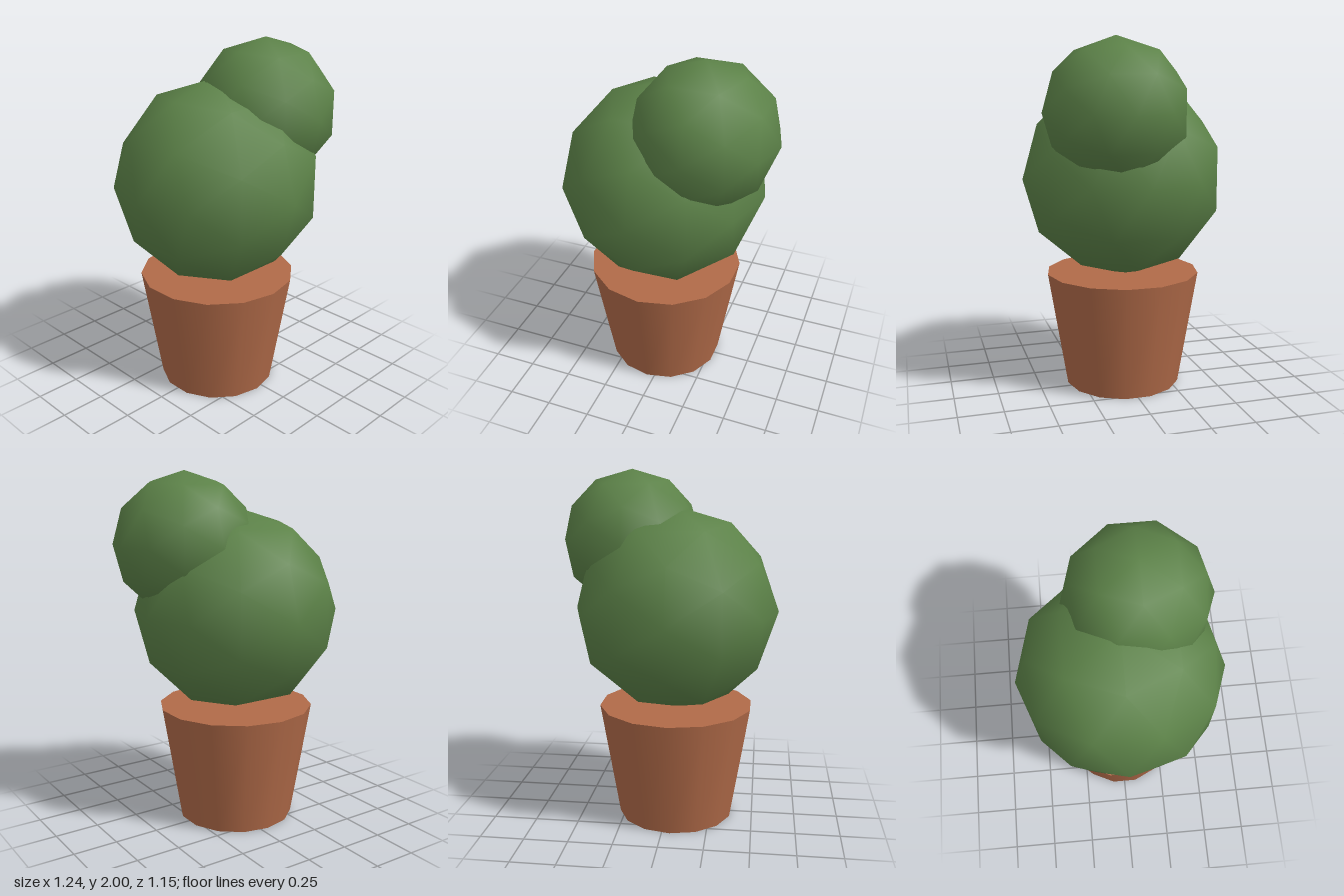
import * as THREE from 'three';

export function createModel() {
  const model = new THREE.Group();
  model.name = 'pottedShrub';

  const terracotta = new THREE.MeshStandardMaterial({ color: 0xb06a48 });
  terracotta.name = 'terracotta';
  const leafGreen = new THREE.MeshStandardMaterial({ color: 0x5c8248 });
  leafGreen.name = 'leafGreen';

  const add = (name, geometry, material, x, y, z) => {
    const mesh = new THREE.Mesh(geometry, material);
    mesh.name = name;
    mesh.position.set(x, y, z);
    model.add(mesh);
  };

  // Tapered pot, filled level to the rim
  const potHeight = 0.667;
  add('pot', new THREE.CylinderGeometry(0.443, 0.333, potHeight, 14), terracotta, -0.045, potHeight / 2, 0);

  // Two overlapping balls of foliage, smooth-shaded low-poly spheres
  add('mainFoliage', new THREE.IcosahedronGeometry(0.577, 1), leafGreen, -0.045, 1.223, 0);
  add('upperFoliage', new THREE.IcosahedronGeometry(0.4, 1), leafGreen, 0.22, 1.6, 0.11);

  return model;
}
